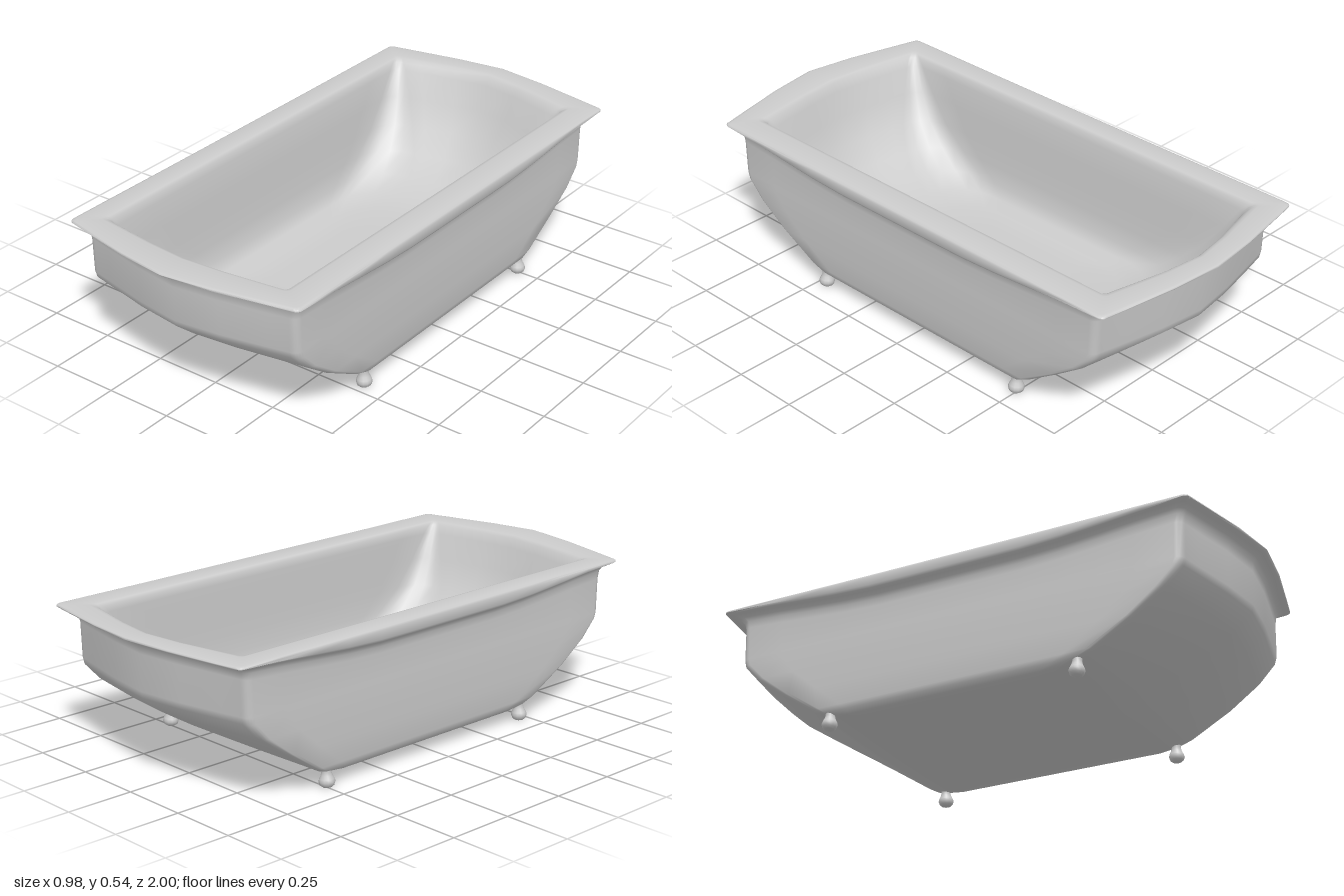
import * as THREE from 'three';
import { toCreasedNormals } from 'three/addons/utils/BufferGeometryUtils.js';

const material = new THREE.MeshStandardMaterial({ color: 0xcccccc, side: THREE.DoubleSide });

// Bowed end: [fraction of half width, fraction of bow]
const BOW = [[-1, 0], [-0.82, 0.22], [-0.41, 0.7], [0, 1], [0.41, 0.7], [0.82, 0.22], [1, 0]];
const SIDE_STEPS = 12, CORNER_STEPS = 5;

// One horizontal outline: rounded rectangle whose two ends bow outward.
// ySide is the height along the sides, yEnd the height at the ends.
function outline({ w, zf, zb, bf, bb, r, ySide, yEnd = ySide, cx = 0 }) {
  const pts = [];
  const add = (x, z) => {
    const s = THREE.MathUtils.smoothstep(Math.abs(z), 0.25, 0.97);
    pts.push(new THREE.Vector3(x + cx, THREE.MathUtils.lerp(ySide, yEnd, s), z));
  };
  const corner = (x, z, start) => {
    for (let i = 1; i < CORNER_STEPS; i++) {
      const a = start + (i / CORNER_STEPS) * Math.PI / 2;
      add(x + r * Math.cos(a), z + r * Math.sin(a));
    }
  };
  const side = (x, z0, z1) => {
    for (let i = 0; i <= SIDE_STEPS; i++) add(x, THREE.MathUtils.lerp(z0, z1, i / SIDE_STEPS));
  };
  side(w, zb + r, zf - r);
  corner(w - r, zf - r, 0);
  for (const [t, b] of BOW) add(-t * (w - r), zf + b * bf);
  corner(-w + r, zf - r, Math.PI / 2);
  side(-w, zf - r, zb + r);
  corner(-w + r, zb + r, Math.PI);
  for (const [t, b] of BOW) add(t * (w - r), zb - b * bb);
  corner(w - r, zb + r, Math.PI * 1.5);
  return pts;
}

// Row: half width, front z, back z, front bow, back bow, corner radius, side y, end y, x offset
const ring = ([w, zf, zb, bf, bb, r, ySide, yEnd, cx]) => outline({ w, zf, zb, bf, bb, r, ySide, yEnd, cx });

// Shrunken copies of a row that close the underside or the floor
const shrink = (row, s) => row.map((v, i) => (i < 6 ? v * s : v));

// Joins successive outlines into one skin
function loft(rings) {
  const n = rings[0].length, index = [];
  for (let j = 0; j < rings.length - 1; j++) {
    for (let i = 0; i < n; i++) {
      const a = j * n + i, b = j * n + (i + 1) % n;
      index.push(a, a + n, b, b, a + n, b + n);
    }
  }
  const g = new THREE.BufferGeometry().setFromPoints(rings.flat());
  g.setIndex(index);
  return toCreasedNormals(g, 0.95);
}

function tubGeometry() {
  const under = [0.415, 0.42, -0.45, 0, 0, 0.03, 0.05, 0.05, 0];
  const shell = [
    [0.43, 0.48, -0.53, 0.01, 0.01, 0.03, 0.065],
    [0.435, 0.53, -0.565, 0.015, 0.015, 0.03, 0.085],
    [0.44, 0.68, -0.69, 0.04, 0.04, 0.03, 0.17],
    [0.444, 0.79, -0.80, 0.06, 0.06, 0.03, 0.25],
    [0.445, 0.852, -0.86, 0.075, 0.075, 0.03, 0.315],
    [0.445, 0.86, -0.866, 0.075, 0.075, 0.03, 0.34],
    [0.445, 0.863, -0.87, 0.075, 0.07, 0.03, 0.43, 0.47],
  ];
  const rim = [
    [0.448, 0.867, -0.875, 0.075, 0.07, 0.03, 0.455, 0.498],
    [0.456, 0.875, -0.89, 0.08, 0.07, 0.03, 0.47, 0.513],
    [0.47, 0.889, -0.912, 0.087, 0.07, 0.025, 0.48, 0.523],
    [0.482, 0.90, -0.927, 0.09, 0.07, 0.02, 0.485, 0.526],
    [0.488, 0.905, -0.931, 0.09, 0.07, 0.02, 0.495, 0.53],
    [0.488, 0.905, -0.931, 0.09, 0.07, 0.02, 0.526, 0.533],
    [0.485, 0.902, -0.928, 0.09, 0.07, 0.02, 0.534, 0.536],
    [0.476, 0.893, -0.92, 0.09, 0.07, 0.02, 0.538, 0.538],
  ];
  const basin = [
    [0.402, 0.838, -0.862, 0.045, 0.07, 0.02, 0.539, 0.539, -0.008],
    [0.39, 0.828, -0.85, 0.045, 0.07, 0.022, 0.536, 0.536, -0.009],
    [0.382, 0.818, -0.838, 0.045, 0.07, 0.03, 0.526, 0.526, -0.009],
    [0.378, 0.805, -0.825, 0.045, 0.07, 0.045, 0.5, 0.5, -0.006],
    [0.372, 0.775, -0.79, 0.045, 0.065, 0.08, 0.41, 0.41, -0.002],
    [0.367, 0.735, -0.745, 0.04, 0.055, 0.12, 0.31, 0.31, 0.002],
    [0.361, 0.67, -0.69, 0.03, 0.035, 0.16, 0.23, 0.23, 0.004],
    [0.35, 0.59, -0.62, 0.02, 0.02, 0.18, 0.165, 0.165, 0.004],
    [0.325, 0.50, -0.53, 0.01, 0.01, 0.17, 0.122, 0.122, 0.002],
    [0.27, 0.40, -0.43, 0, 0, 0.14, 0.102, 0.102, 0],
  ];
  const floor = basin[basin.length - 1];
  const underside = [0.001, 0.2, 0.4, 0.6, 0.75, 0.9, 1].map(s => ring(shrink(under, s)));
  // Shallow keel under the front
  for (const p of underside.flat()) {
    p.y -= 0.018 * Math.max(0, 1 - Math.abs(p.x) / 0.2) * Math.max(0, 1 - Math.abs(p.z - 0.32) / 0.2);
  }
  const rimRings = rim.map(ring);
  const inside = basin.map(ring);
  // The rim rises slightly towards its middle and tips a little to the back
  for (const p of [...rimRings.flat(), ...inside.slice(0, 3).flat()]) {
    p.y += 0.003 * p.z + 0.005 * Math.max(0, 1 - Math.abs(p.x) / 0.45);
  }
  return loft([
    ...underside,
    ...shell.map(ring),
    ...rimRings,
    ...inside,
    ...[0.6, 0.3, 0.001].map(s => ring(shrink(floor, s))),
  ]);
}

// Turned foot with a bulbous base and a slim neck
function footGeometry() {
  const profile = [[0, 0], [0.016, 0.001], [0.025, 0.008], [0.029, 0.02], [0.026, 0.03],
    [0.02, 0.042], [0.017, 0.055], [0.019, 0.068], [0.02, 0.08], [0, 0.088]];
  return new THREE.LatheGeometry(profile.map(([x, y]) => new THREE.Vector2(x, y)), 12);
}

export function createModel() {
  const model = new THREE.Group();
  model.name = 'bathtub';

  const tub = new THREE.Mesh(tubGeometry(), material);
  tub.name = 'tub';
  model.add(tub);

  const footShape = footGeometry();
  for (const [end, z] of [['front', 0.46], ['back', -0.497]]) {
    for (const [side, sx] of [['Left', 1], ['Right', -1]]) {
      const foot = new THREE.Mesh(footShape, material);
      foot.name = `${end}${side}Foot`;
      foot.position.set(sx * 0.416, 0.003, z);
      foot.rotation.z = sx * 0.08;
      model.add(foot);
    }
  }
  return model;
}
